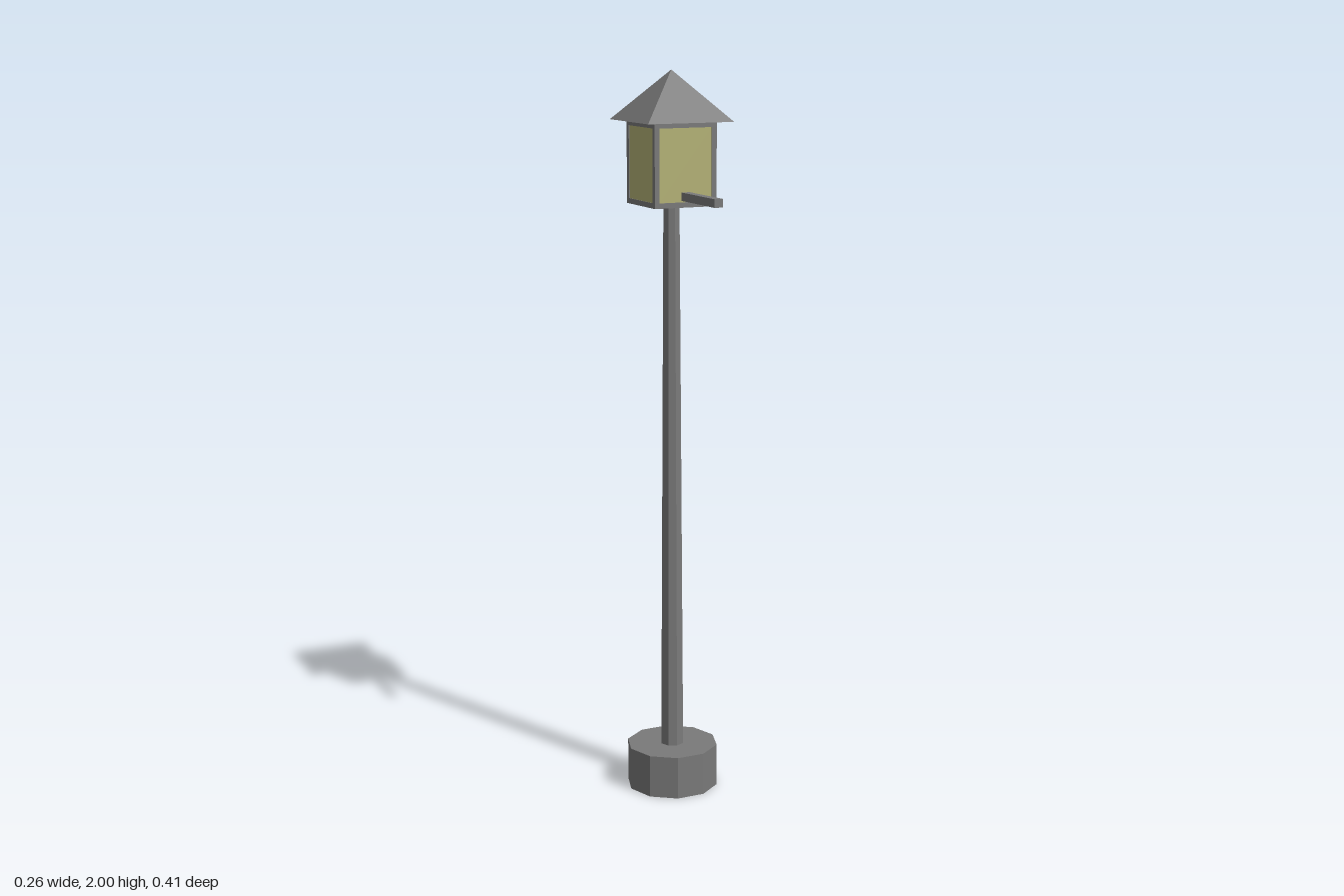
import * as THREE from 'three';

export function createModel() {
  const model = new THREE.Group();
  model.name = 'streetLamp';

  const metal = new THREE.MeshStandardMaterial({ color: 0x7a7a7a, flatShading: true });
  metal.name = 'grey metal';
  const glass = new THREE.MeshStandardMaterial({ color: 0xb4b276 });
  glass.name = 'pale yellow glass';

  // Everything but the arm is centred on the post axis
  const axis = new THREE.Group();
  axis.name = 'lampPost';
  axis.position.z = -0.08;
  model.add(axis);

  const add = (name, geometry, material, x, y, z, parent = axis) => {
    const mesh = new THREE.Mesh(geometry, material);
    mesh.name = name;
    mesh.position.set(x, y, z);
    parent.add(mesh);
    return mesh;
  };

  // Ten-sided foot and tapered post
  add('base', new THREE.CylinderGeometry(0.128, 0.128, 0.12, 10).rotateY(Math.PI / 2), metal, 0, 0.06, 0);
  add('post', new THREE.CylinderGeometry(0.023, 0.033, 1.53, 8), metal, 0, 0.885, 0);

  // Lantern: corner posts and rails around four glass panes
  const half = 0.09, bar = 0.014, bottom = 1.645, top = 1.867;
  const height = top - bottom, middle = (top + bottom) / 2;
  const lantern = new THREE.Group();
  lantern.name = 'lantern';
  axis.add(lantern);
  for (const y of [bottom + bar / 2, top - bar / 2]) {
    add('lanternPlate', new THREE.BoxGeometry(half * 2, bar, half * 2), metal, 0, y, 0, lantern);
  }
  for (const sx of [-1, 1]) {
    for (const sz of [-1, 1]) {
      add('cornerPost', new THREE.BoxGeometry(bar, height - 2 * bar, bar), metal,
        sx * (half - bar / 2), middle, sz * (half - bar / 2), lantern);
    }
  }
  for (let i = 0; i < 4; i++) {
    const side = new THREE.Group();
    side.name = 'paneSide';
    side.rotation.y = i * Math.PI / 2;
    lantern.add(side);
    add('glassPane', new THREE.BoxGeometry(2 * (half - bar), height - 2 * bar, 0.008), glass,
      0, middle, half - 0.006, side);
  }

  // Pyramid roof with overhanging eaves
  add('roof', new THREE.ConeGeometry(0.124 * Math.SQRT2, 2 - top, 4).rotateY(Math.PI / 4), metal,
    0, (2 + top) / 2, 0);

  // Square arm reaching forward from the lantern
  add('arm', new THREE.BoxGeometry(0.024, 0.022, 0.204), metal, 0, 1.674, 0.102, model);

  return model;
}
